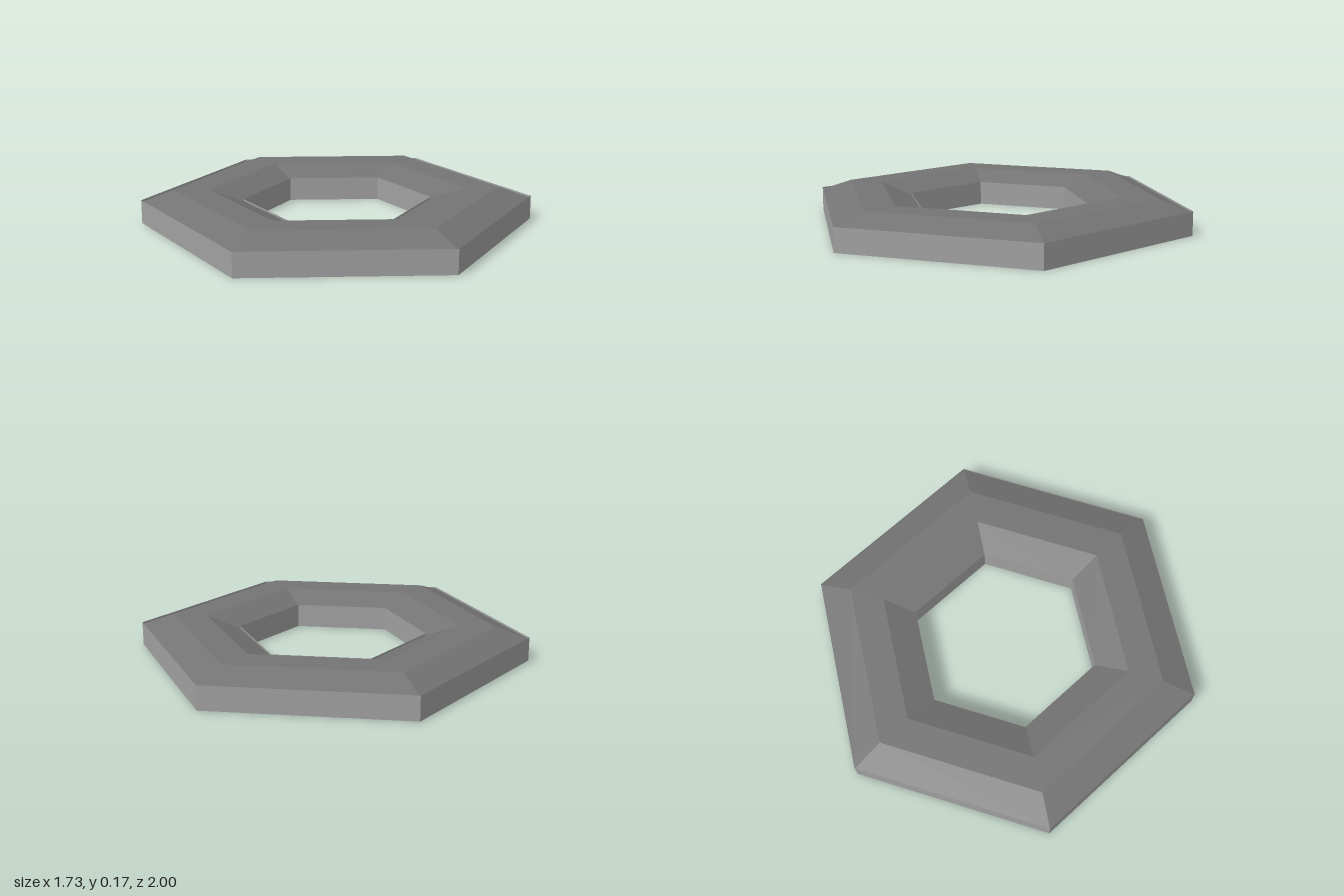
import * as THREE from 'three';

// Six-sided faceted ring from a cross-section of [corner radius, height] pairs;
// the six segments put corners on +z and -z
function hexRing(name, profile, color) {
  const points = profile.map(([r, y]) => new THREE.Vector2(r, y));
  const geometry = new THREE.LatheGeometry(points, 6).toNonIndexed();
  geometry.computeVertexNormals();
  const mesh = new THREE.Mesh(
    geometry,
    new THREE.MeshStandardMaterial({ color, flatShading: true, side: THREE.DoubleSide })
  );
  mesh.name = name;
  return mesh;
}

export function createModel() {
  const group = new THREE.Group();
  group.name = 'hexagonalRing';

  // Lighter open tray: inner wall, underside and outer wall
  group.add(hexRing('base', [[0.48, 0.122], [0.48, 0], [1, 0], [1, 0.122]], 0xa1a1a1));

  // Darker cover: outer bevel, flat top, inner bevel; its edges sit just below the tray rim
  group.add(hexRing('cover', [[1, 0.112], [0.83, 0.172], [0.65, 0.172], [0.48, 0.112]], 0x747474));

  return group;
}
